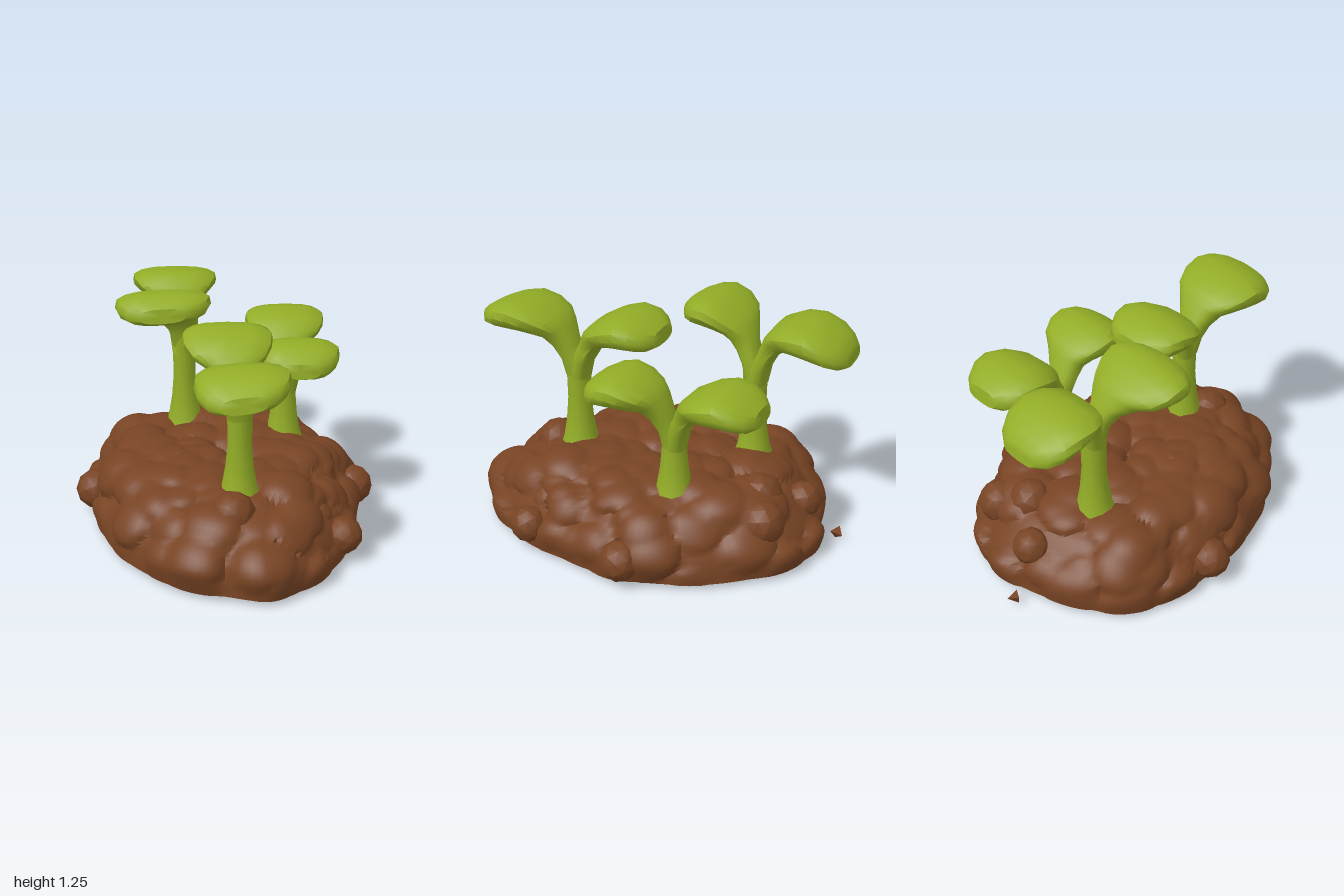
import * as THREE from 'three';
import { toCreasedNormals } from 'three/addons/utils/BufferGeometryUtils.js';

const soil = new THREE.MeshStandardMaterial({ color: 0x784424 });
soil.name = 'soilBrown';
const green = new THREE.MeshStandardMaterial({ color: 0x92ac26 });
green.name = 'mushroomGreen';

let seed = 7;
const rand = () => {
  seed = (seed * 16807) % 2147483647;
  return seed / 2147483647;
};

// Skin a list of equal-length rows of points (first and last column coincide)
function loft(rows, crease) {
  const n = rows[0].length, index = [];
  for (let i = 0; i < rows.length - 1; i++) {
    for (let j = 0; j < n - 1; j++) {
      const a = i * n + j, b = a + 1, c = a + n, d = c + 1;
      index.push(a, c, b, b, c, d);
    }
  }
  const geo = new THREE.BufferGeometry().setFromPoints(rows.flat());
  geo.setIndex(index);
  return toCreasedNormals(geo, crease);
}

function named(name, geo, material) {
  const mesh = new THREE.Mesh(geo, material);
  mesh.name = name;
  return mesh;
}

// Lumpy soil mound: a dome over an irregular outline, covered in rounded clods
function createMound() {
  const outline = new THREE.CatmullRomCurve3([
    [0.75, -0.05], [0.71, 0.15], [0.66, 0.44], [0.55, 0.66], [0.43, 0.82], [0.2, 0.98],
    [0, 0.94], [-0.27, 0.82], [-0.48, 0.64], [-0.62, 0.42], [-0.71, 0.15], [-0.75, -0.1],
    [-0.74, -0.35], [-0.68, -0.6], [-0.48, -0.78], [-0.12, -0.92], [0.1, -0.93],
    [0.33, -0.83], [0.54, -0.62], [0.66, -0.4],
  ].map(([x, z]) => new THREE.Vector3(x, 0, z)), true).getSpacedPoints(150);

  const profile = new THREE.CatmullRomCurve3([
    [0.965, 0.025], [0.955, 0.1], [0.925, 0.17], [0.855, 0.25], [0.76, 0.33],
    [0.6, 0.37], [0.3, 0.36], [0, 0.36],
  ].map(([s, y]) => new THREE.Vector3(s, y, 0))).getSpacedPoints(48);

  const surface = (p, q) => new THREE.Vector3(p.x * q.x, q.y, p.z * q.x);
  const clods = [];
  for (let i = 0; i < 190; i++) {
    const q = profile[Math.floor(Math.pow(rand(), 1.2) * 42)];
    const p = outline[Math.floor(rand() * 150)];
    const r = 0.07 + 0.09 * rand();
    clods.push({ at: surface(p, q), r, h: r * (0.3 + 0.4 * rand()) });
  }

  const rows = profile.map((q, i) => outline.map((p) => {
    const v = surface(p, q);
    let lift = 0;
    for (const c of clods) {
      const d = v.distanceTo(c.at) / c.r;
      if (d < 1) lift = Math.max(lift, c.h * Math.sqrt(1 - d * d));
    }
    const side = q.x * q.x;
    const out = new THREE.Vector3(p.x, 0, p.z).normalize().multiplyScalar(side);
    out.y = i === 0 ? 0 : 1.1 - side;
    const amount = q.x === 0 ? 0.03 : lift * Math.min(1, 0.3 + i * 0.15);
    return v.addScaledVector(out, amount);
  }));
  // Flat underside
  rows.unshift(outline.map(() => new THREE.Vector3(0, 0.025, 0)));
  return named('soilMound', loft(rows, 0.8), soil);
}

// Half-buried clods that stand out from the mound: [x, y, z, radius]
const CLODS = [
  [-0.71, 0.135, -0.09, 0.11], [0.71, 0.135, -0.1, 0.11], [0.6, 0.14, 0.49, 0.1],
  [0.45, 0.22, 0.44, 0.1], [-0.1, 0.24, -0.79, 0.1], [0.1, 0.33, -0.62, 0.12],
  [-0.25, 0.35, 0.1, 0.11], [0.26, 0.27, -0.7, 0.12], [0.02, 0.34, 0.62, 0.12],
];

// Cap side profile: [bottom reach, bottom y, top reach, top y, half width, lower widening]
const CAP = [
  [0.065, -0.4, -0.06, -0.4, 0.065, 1],
  [0.08, -0.31, -0.03, -0.28, 0.075, 1.15],
  [0.12, -0.235, 0.01, -0.22, 0.085, 1.3],
  [0.17, -0.19, 0.05, -0.12, 0.13, 1.05],
  [0.22, -0.178, 0.1, -0.07, 0.19, 0.85],
  [0.28, -0.172, 0.19, -0.025, 0.228, 0.82],
  [0.34, -0.17, 0.29, 0, 0.235, 0.88],
  [0.41, -0.17, 0.38, -0.015, 0.218, 0.95],
  [0.47, -0.17, 0.45, -0.045, 0.172, 1],
  [0.508, -0.155, 0.495, -0.075, 0.11, 1],
];
const REACH = 0.51;

// One lobed cap flowing out of the stem; dx shifts its centre, dz is its reach
function createCap({ dx, dz, top, w, tilt = 0, roll = 0 }) {
  const sides = 16, round = (t) => Math.sign(t) * Math.pow(Math.abs(t), 0.75);
  const rows = CAP.map(([bd, by, td, ty, half, lower]) => {
    const row = [];
    for (let j = 0; j <= sides; j++) {
      const a = ((j % sides) / sides) * Math.PI * 2;
      const k = round(Math.sin(a)) / 2 + 0.5;
      const d = THREE.MathUtils.lerp(bd, td, k);
      const y = THREE.MathUtils.lerp(by, ty, k);
      const width = half * (half > 0.1 ? w / 0.235 : 1) * THREE.MathUtils.lerp(lower, 1, Math.min(1, k * 1.6));
      const x = -Math.sign(dz) * round(Math.cos(a)) * width;
      const fade = Math.max(0, d) / REACH;
      row.push(new THREE.Vector3(
        x + dx * THREE.MathUtils.smoothstep((bd + td) / 2, 0, 0.2),
        top + y + tilt * (fade - 0.6) * THREE.MathUtils.smoothstep(fade, 0, 0.3) + roll * x * fade,
        d * dz / REACH,
      ));
    }
    return row;
  });
  // Close the outer rim
  const last = rows[rows.length - 1];
  const centre = last.slice(0, sides).reduce((s, v) => s.add(v), new THREE.Vector3()).divideScalar(sides);
  rows.push(last.map(() => centre.clone()));
  return named('mushroomCap', loft(rows, 0.75), green);
}

// Flared stem carrying two caps
function createMushroom({ x, z, caps }) {
  const group = new THREE.Group();
  group.name = 'forkedMushroom';
  const top = Math.min(...caps.map((c) => c.top)) - 0.3;
  const points = [[0.115, 0.36], [0.092, 0.43], [0.075, 0.53], [0.064, 0.66], [0.068, top]]
    .map(([r, y]) => new THREE.Vector2(r, y));
  group.add(named('mushroomStem', toCreasedNormals(new THREE.LatheGeometry(points, 10), 0.75), green));
  for (const cap of caps) group.add(createCap(cap));
  group.position.set(x, 0, z);
  return group;
}

export function createModel() {
  const model = new THREE.Group();
  model.name = 'mushroomPatch';
  model.add(createMound());

  CLODS.forEach(([x, y, z, r], i) => {
    const clod = named('soilClod', toCreasedNormals(new THREE.IcosahedronGeometry(r, 1), 0.6), soil);
    clod.position.set(x, y, z);
    clod.rotation.set(i, i * 2, 0);
    model.add(clod);
  });

  // Loose crumb of soil at the back edge
  const crumb = named('soilCrumb', new THREE.TetrahedronGeometry(0.042), soil);
  crumb.position.set(-0.17, 0.036, -0.965);
  crumb.rotation.set(0.5, 0.3, 0.2);
  model.add(crumb);

  const mushrooms = [
    { x: 0.06, z: 0.46, caps: [
      { dx: 0, dz: 0.52, top: 1.2, w: 0.24, roll: 0.12 },
      { dx: -0.055, dz: -0.48, top: 1.19, w: 0.24, tilt: 0.03 }] },
    { x: 0.33, z: -0.23, caps: [
      { dx: 0.055, dz: 0.44, top: 1.05, w: 0.22 },
      { dx: 0.015, dz: -0.49, top: 1.04, w: 0.225 }] },
    { x: -0.215, z: -0.45, caps: [
      { dx: -0.11, dz: 0.42, top: 1.25, w: 0.262, tilt: 0.06, roll: 0.06 },
      { dx: -0.05, dz: -0.52, top: 1.2, w: 0.242, tilt: -0.1 }] },
  ];
  for (const m of mushrooms) model.add(createMushroom(m));
  return model;
}
